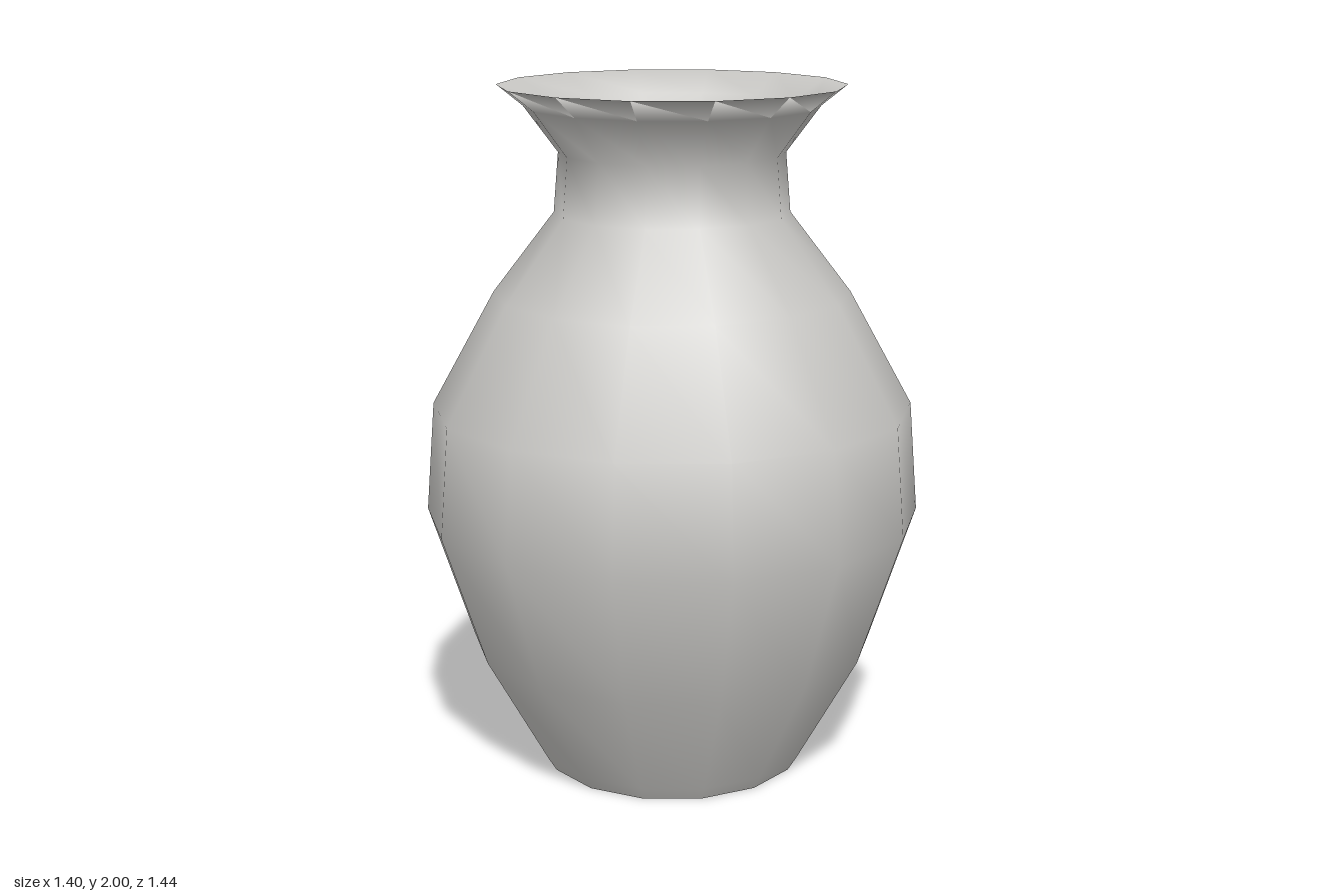
import * as THREE from 'three';

const SIDES = 14;

export function createModel() {
  const vase = new THREE.Group();
  vase.name = 'vase';
  const clay = new THREE.MeshStandardMaterial({ color: 0xcbcac7 });
  clay.name = 'greyClay';

  // Turn a profile of [radius, height] points around the y axis
  const turn = (name, profile) => {
    const points = profile.map(([r, y]) => new THREE.Vector2(r, y));
    const mesh = new THREE.Mesh(new THREE.LatheGeometry(points, SIDES), clay);
    mesh.name = name;
    vase.add(mesh);
  };

  // Domed recess under the foot
  turn('baseRecess', [[0, 0.15], [0.13, 0.135], [0.25, 0.09], [0.34, 0.03], [0.38, 0]]);

  // Outer wall up to the lip, then down the thin inner wall
  turn('wall', [
    [0.38, 0], [0.405, 0.04], [0.59, 0.37], [0.72, 0.76], [0.695, 1.08],
    [0.513, 1.41], [0.337, 1.64], [0.323, 1.81], [0.42, 1.94],
    [0.495, 2],
    [0.395, 1.94], [0.3, 1.81], [0.294, 1.63], [0.48, 1.4],
    [0.665, 1.07], [0.69, 0.77], [0.56, 0.38], [0.385, 0.06],
  ]);

  // Domed floor inside
  turn('innerFloor', [[0.385, 0.06], [0.34, 0.075], [0.25, 0.12], [0.13, 0.165], [0, 0.18]]);

  return vase;
}
